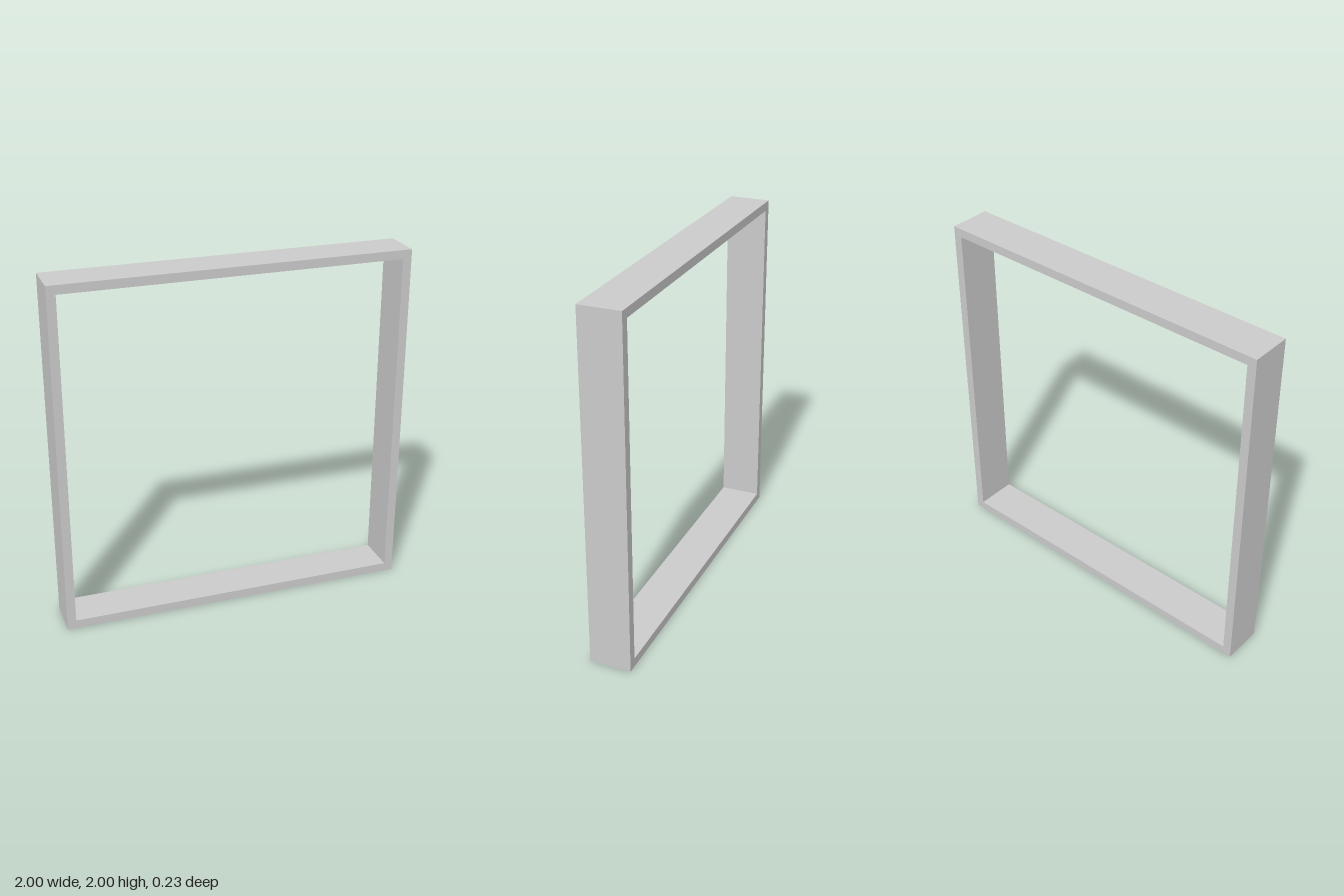
import * as THREE from 'three';

const SIZE = 2, WALL = 0.05, DEPTH = 0.235;

// Closed square outline centred on x = 0, y = 0
function square(target, half) {
  target.moveTo(-half, -half);
  target.lineTo(half, -half);
  target.lineTo(half, half);
  target.lineTo(-half, half);
  target.closePath();
  return target;
}

export function createModel() {
  const group = new THREE.Group();
  group.name = 'squareFrame';

  // Square frame with an open middle
  const outline = square(new THREE.Shape(), SIZE / 2);
  outline.holes.push(square(new THREE.Path(), SIZE / 2 - WALL));
  const geometry = new THREE.ExtrudeGeometry(outline, { depth: DEPTH, bevelEnabled: false });
  geometry.translate(0, SIZE / 2, -DEPTH / 2);

  const frame = new THREE.Mesh(
    geometry,
    new THREE.MeshStandardMaterial({ color: 0xcccccc, flatShading: true })
  );
  frame.name = 'frame';
  group.add(frame);
  return group;
}
